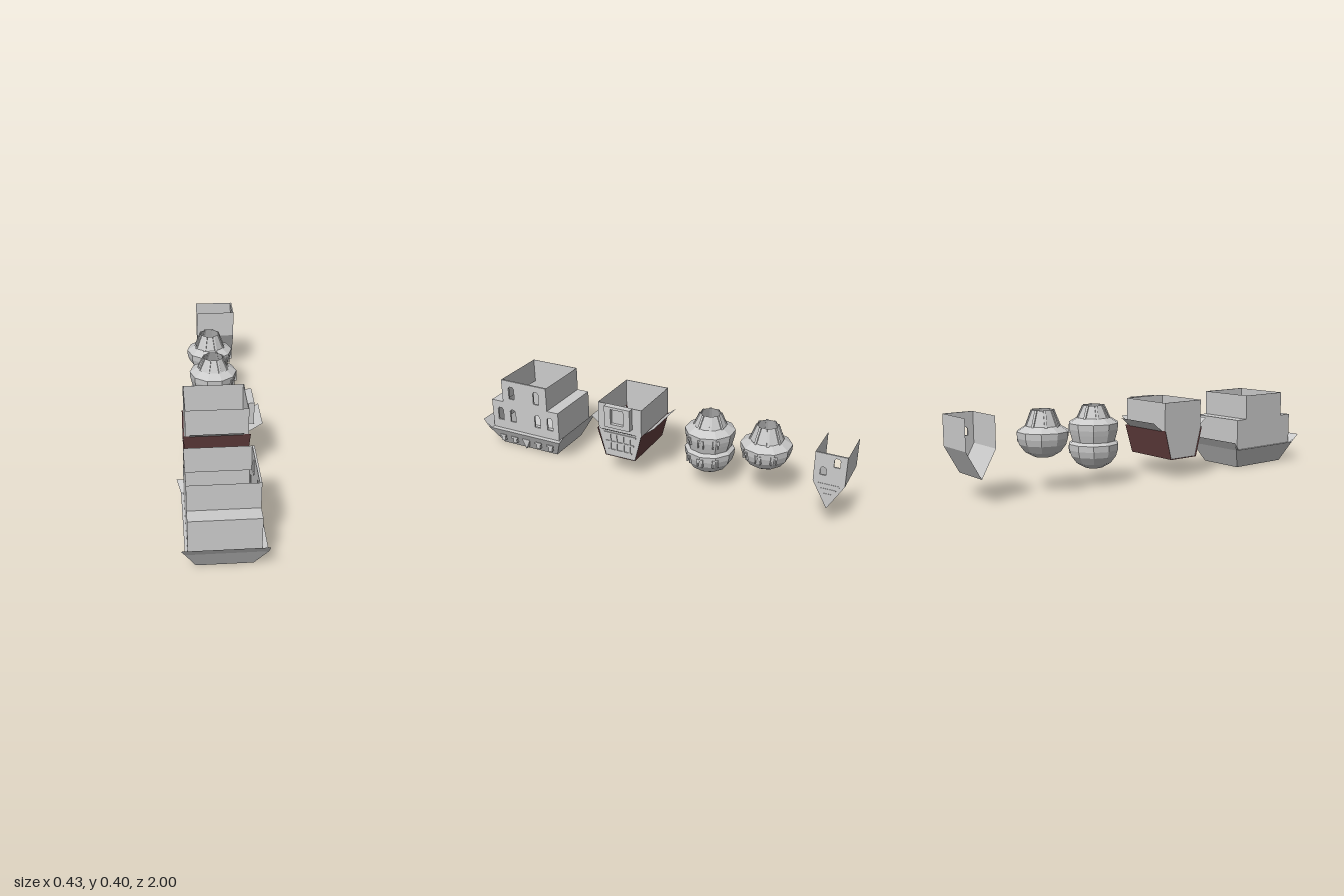
import * as THREE from 'three';

const grey = new THREE.MeshStandardMaterial({ color: 0xcccccc, side: THREE.DoubleSide, flatShading: true });
const brown = new THREE.MeshStandardMaterial({ color: 0x664040, side: THREE.DoubleSide, flatShading: true });

function add(parent, name, geometry, material = grey) {
  const mesh = new THREE.Mesh(geometry, material);
  mesh.name = name;
  parent.add(mesh);
  return mesh;
}

function group(parent, name) {
  const g = new THREE.Group();
  g.name = name;
  parent.add(g);
  return g;
}

// Flat polygons, each a list of [x, y, z] corners, fanned into one thin surface
function panels(parent, name, polygons, material) {
  const pos = [];
  for (const p of polygons)
    for (let i = 1; i < p.length - 1; i++) pos.push(...p[0], ...p[i], ...p[i + 1]);
  const geo = new THREE.BufferGeometry();
  geo.setAttribute('position', new THREE.Float32BufferAttribute(pos, 3));
  geo.computeVertexNormals();
  return add(parent, name, geo, material);
}

function box(parent, name, x0, x1, y0, y1, z0, z1, material) {
  const m = add(parent, name, new THREE.BoxGeometry(x1 - x0, y1 - y0, z1 - z0), material);
  m.position.set((x0 + x1) / 2, (y0 + y1) / 2, (z0 + z1) / 2);
  return m;
}

// Wall facing +x from a [z, y] outline, with arched openings [z, bottom, width, height]
function gable(parent, name, x, depth, outline, windows = []) {
  const shape = new THREE.Shape(outline.map(([z, y]) => new THREE.Vector2(-z, y)));
  for (const [z, y, w, h] of windows) {
    const hole = new THREE.Path();
    hole.moveTo(-z - w / 2, y);
    hole.lineTo(-z + w / 2, y);
    hole.lineTo(-z + w / 2, y + h - w * 0.3);
    hole.lineTo(-z + w * 0.25, y + h);
    hole.lineTo(-z - w * 0.25, y + h);
    hole.lineTo(-z - w / 2, y + h - w * 0.3);
    shape.holes.push(hole);
  }
  const m = add(parent, name, new THREE.ExtrudeGeometry(shape, { depth, bevelEnabled: false }));
  m.rotation.y = Math.PI / 2;
  m.position.x = x - depth;
}

// Stepped hall on a flared base
function buildHall(root) {
  const g = group(root, 'steppedHall');
  const mid = 0.748, x0 = -0.185, x1 = 0.13;
  const outline = [[0.957, 0.105], [0.957, 0.266], [0.885, 0.266], [0.885, 0.395],
    [0.605, 0.395], [0.605, 0.266], [0.538, 0.266], [0.538, 0.105]];
  const windows = [];
  for (const z of [0.905, 0.826, 0.67, 0.591]) windows.push([z, 0.155, 0.034, 0.072]);
  for (const z of [0.826, 0.67]) windows.push([z, 0.29, 0.034, 0.072]);
  gable(g, 'windowWall', x1, 0.01, outline, windows);
  gable(g, 'plainWall', x0 + 0.002, 0.002, outline);
  // long walls and shoulders, leaving the top open
  const skin = [];
  for (const i of [0, 1, 2, 4, 5, 6]) {
    const [[za, ya], [zb, yb]] = [outline[i], outline[i + 1]];
    skin.push([[x0, ya, za], [x1, ya, za], [x1, yb, zb], [x0, yb, zb]]);
  }
  panels(g, 'longWalls', skin);

  // base: two high flared ends and two lower sides
  const base = [], ledge = [];
  const b = s => mid + s * 0.172, m = s => mid + s * 0.226, t = s => mid + s * 0.256;
  for (const s of [-1, 1]) {
    base.push([[-0.15, 0, b(s)], [0.1, 0, b(s)], [0.156, 0.105, m(s)], [-0.197, 0.105, m(s)]]);
    base.push([[-0.197, 0.105, m(s)], [0.156, 0.105, m(s)], [0.16, 0.15, t(s)], [-0.215, 0.15, t(s)]]);
    const w = mid + s * 0.21;
    ledge.push([[-0.197, 0.105, w], [0.156, 0.105, w], [0.16, 0.15, t(s)], [-0.215, 0.15, t(s)]]);
  }
  for (const [xb, xm, xw] of [[-0.15, -0.197, x0], [0.1, 0.156, x1]]) {
    base.push([[xb, 0, b(-1)], [xb, 0, b(1)], [xm, 0.105, m(1)], [xm, 0.105, m(-1)]]);
    ledge.push([[xw, 0.105, m(-1)], [xw, 0.105, m(1)], [xm, 0.105, m(1)], [xm, 0.105, m(-1)]]);
  }
  base.push([[-0.15, 0, b(-1)], [0.1, 0, b(-1)], [0.1, 0, b(1)], [-0.15, 0, b(1)]]);
  panels(g, 'flaredBase', base);
  panels(g, 'eaveLedge', ledge);

  // dormers along the sloping side
  for (const z of [0.9, 0.824, 0.672, 0.596]) {
    box(g, 'dormer', 0.1, 0.136, 0.03, 0.06, z - 0.011, z + 0.011);
    box(g, 'dormerHead', 0.11, 0.14, 0.056, 0.068, z - 0.02, z + 0.02);
  }
  gable(g, 'centralDormer', 0.14, 0.04, [[mid - 0.026, 0.07], [mid + 0.026, 0.07], [mid, 0.014]]);
}

// House with a brown lower shell, hanging flaps and a bay
function buildHouse(root) {
  const g = group(root, 'brownHouse');
  const mid = 0.16, zb = 0.083, zt = 0.122, yb = 0.105, ye = 0.25, yt = 0.395;
  const outline = [[mid - zb, yb], [mid + zb, yb], [mid + zt, ye], [mid + zt, yt], [mid - zt, yt], [mid - zt, ye]];
  gable(g, 'frontGable', 0.143, 0.004, outline);
  gable(g, 'rearGable', -0.161, 0.004, outline);
  const walls = [], shell = [], flaps = [];
  const a = -0.172, c = 0.153;
  for (const s of [-1, 1]) {
    const z = mid + s * zt, zo = mid + s * (zt + 0.003), zl = mid + s * (zb + 0.002);
    walls.push([[-0.165, ye, z], [0.143, ye, z], [0.143, yt, z], [-0.165, yt, z]]);
    shell.push([[a, yb - 0.002, zl], [c - 0.008, yb - 0.002, zl], [c, ye + 0.004, zo], [a, ye + 0.004, zo]]);
    const zi = mid + s * 0.084, zw = mid + s * 0.18;
    flaps.push([[-0.145, 0.218, zi], [0.115, 0.218, zi], [0.115, 0.295, zw], [-0.145, 0.295, zw]]);
  }
  shell.push([[a, yb - 0.002, mid - zb], [c - 0.008, yb - 0.002, mid - zb],
    [c - 0.008, yb - 0.002, mid + zb], [a, yb - 0.002, mid + zb]]);
  flaps.push([[0.115, 0.229, 0.058], [0.115, 0.229, 0.252], [0.213, 0.292, 0.252], [0.213, 0.292, 0.058]]);
  panels(g, 'longWalls', walls);
  panels(g, 'brownShell', shell, brown);
  panels(g, 'eaveFlaps', flaps);

  // projecting bay with a framed opening
  const bay = group(g, 'bay');
  for (const s of [-1, 1]) {
    const z = mid + s * 0.054;
    box(bay, 'bayPost', 0.14, 0.173, 0.28, yt, z - 0.018, z + 0.018);
  }
  box(bay, 'bayBottom', 0.14, 0.173, 0.28, 0.3, mid - 0.036, mid + 0.036);
  box(bay, 'bayTop', 0.14, 0.173, 0.382, yt, mid - 0.036, mid + 0.036);
  box(bay, 'bayWindow', 0.14, 0.155, 0.3, 0.382, mid - 0.036, mid + 0.036);

  // timber beams on the lower gable
  for (const y of [0.135, 0.182, 0.23])
    box(g, 'beam', 0.142, 0.148, y, y + 0.008, mid - 0.068 - (y - 0.135) * 0.25, mid + 0.068 + (y - 0.135) * 0.25);
  for (const z of [-0.055, -0.02, 0.02, 0.055])
    box(g, 'beamUpright', 0.142, 0.148, 0.14, 0.235, mid + z - 0.004, mid + z + 0.004);
}

// Faceted dome tower: ten-sided bowl tiers under an open eight-sided neck
function buildDome(root, name, z, lip, tiers) {
  const g = group(root, name);
  g.position.set(0.01, 0, z);
  const lathe = (pts, n, turn) =>
    new THREE.LatheGeometry(pts.map(([r, y]) => new THREE.Vector2(r, y)), n, turn);
  const bowl = y => [[0.0, y - 0.128], [0.045, y - 0.121], [0.088, y - 0.096], [0.115, y - 0.06], [0.124, y - 0.03], [0.126, y]];
  for (let i = 0; i < tiers; i++) {
    const y = lip - i * 0.103;
    const profile = i === tiers - 1 ? bowl(y) : [[0.108, y - 0.09], [0.118, y - 0.055], [0.124, y - 0.03], [0.126, y]];
    profile.push(i ? [0.108, y + 0.013] : [0.083, y + 0.026]);
    add(g, 'domeTier', lathe(profile, 10, Math.PI / 2));
    // small windows round the +x side
    for (const k of [-1, 0, 1]) {
      const turn = k * Math.PI / 5;
      const frame = group(g, 'domeWindow');
      frame.rotation.y = turn;
      box(frame, 'windowJamb', 0.105, 0.125, y - 0.055, y - 0.014, -0.016, -0.01);
      box(frame, 'windowJamb', 0.105, 0.125, y - 0.055, y - 0.014, 0.01, 0.016);
      box(frame, 'windowHead', 0.105, 0.126, y - 0.02, y - 0.014, -0.01, 0.01);
    }
  }
  add(g, 'neck', lathe([[0.083, lip + 0.02], [0.052, 0.395]], 8, Math.PI / 8));
  // ribs along the neck corners
  for (let i = 0; i < 8; i++) {
    const rib = group(g, 'neckRib');
    rib.rotation.y = (i + 0.5) * Math.PI / 4;
    const h = 0.375 - lip;
    const m = add(rib, 'rib', new THREE.BoxGeometry(0.006, Math.hypot(h, 0.031), 0.012));
    m.position.set(0.0675, lip + 0.02 + h / 2, 0);
    m.rotation.z = Math.atan2(0.031, h);
  }
}

// Narrow house with a pointed keel, open at the top and at -x
function buildNarrowHouse(root) {
  const g = group(root, 'narrowHouse');
  const x0 = -0.042, x1 = 0.172, mid = -0.926, h = 0.074;
  const profile = [[mid + h, 0.395], [mid + h, 0.247], [mid, 0.115], [mid - h, 0.247], [mid - h, 0.395]];
  const skin = [];
  for (let i = 0; i < 4; i++) {
    const [[za, ya], [zb, yb]] = [profile[i], profile[i + 1]];
    skin.push([[x0, ya, za], [x1, ya, za], [x1, yb, zb], [x0, yb, zb]]);
  }
  panels(g, 'sideWalls', skin);
  gable(g, 'windowWall', x1, 0.008, profile, [[-0.955, 0.335, 0.028, 0.045], [-0.895, 0.285, 0.028, 0.04]]);
  for (const [y, w] of [[0.235, 0.05], [0.21, 0.036], [0.185, 0.022]])
    box(g, 'gableSlat', x1 - 0.004, x1 + 0.002, y, y + 0.008, mid - w, mid + w);
}

export function createModel() {
  const root = new THREE.Group();
  root.name = 'buildingSet';
  buildHall(root);
  buildHouse(root);
  buildDome(root, 'doubleDomeTower', -0.278, 0.309, 2);
  buildDome(root, 'singleDomeTower', -0.572, 0.295, 1);
  buildNarrowHouse(root);
  return root;
}
